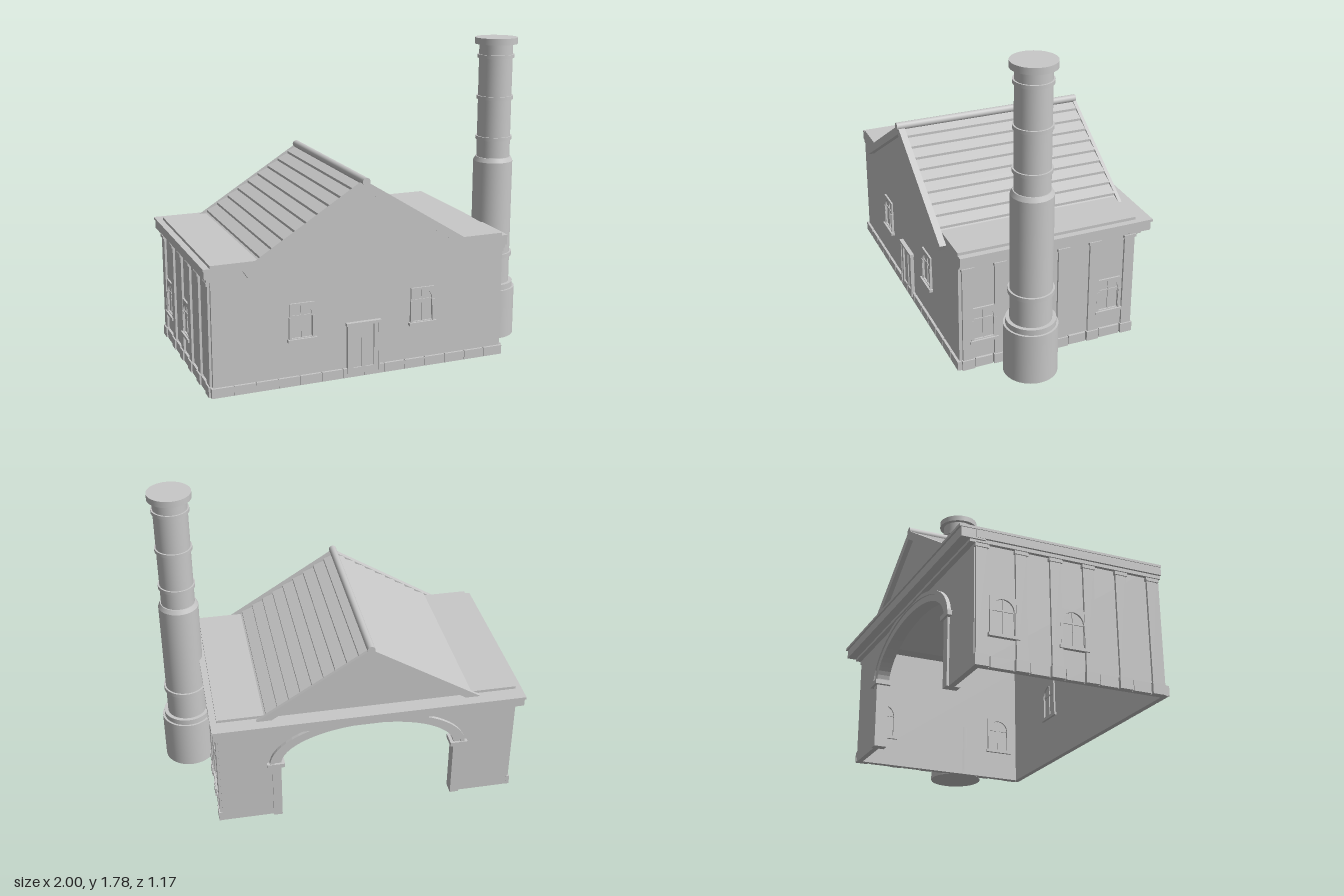
import * as THREE from 'three';

const stone = new THREE.MeshStandardMaterial({ color: 0xc8c8c8 });
stone.name = 'pale grey stone';

const CX = -0.12;        // centre line of the hall
const HALF = 0.845;      // half width to the wall faces
const FRONT = 0.54, BACK = -0.495;
const SLOPE = 0.625, APEX = 1.1;

function add(parent, name, geometry) {
  const m = new THREE.Mesh(geometry, stone);
  m.name = name;
  parent.add(m);
  return m;
}

// Box given by its limits on each axis
function box(parent, name, x0, x1, y0, y1, z0, z1) {
  const m = add(parent, name, new THREE.BoxGeometry(x1 - x0, y1 - y0, z1 - z0));
  m.position.set((x0 + x1) / 2, (y0 + y1) / 2, (z0 + z1) / 2);
  return m;
}

// Shape in the xy plane pushed from z0 to z1
function slab(parent, name, shape, z0, z1) {
  const g = new THREE.ExtrudeGeometry(shape, { depth: z1 - z0, bevelEnabled: false, curveSegments: 24 });
  g.translate(0, 0, z0);
  return add(parent, name, g);
}

const polygon = (pts) => new THREE.Shape(pts.map(([x, y]) => new THREE.Vector2(x, y)));

// Gabled end wall outline, centred on x = 0
function gableOutline() {
  const d = (1.06 - 0.72) / SLOPE;
  return polygon([[-HALF, 0], [HALF, 0], [HALF, 0.72], [d, 0.72], [0, 1.06], [-d, 0.72], [-HALF, 0.72]]);
}

// Arched window facing +z, with its sill at the origin
function makeWindow() {
  const g = new THREE.Group();
  g.name = 'archedWindow';
  const frame = polygon([[-0.07, 0], [0.07, 0], [0.07, 0.205], [-0.07, 0.205]]);
  const hole = new THREE.Path();
  hole.moveTo(-0.057, 0.012);
  hole.lineTo(-0.057, 0.135);
  hole.absarc(0, 0.135, 0.057, Math.PI, 0, true);
  hole.lineTo(0.057, 0.012);
  hole.closePath();
  frame.holes.push(hole);
  slab(g, 'windowFrame', frame, -0.03, 0.01);
  box(g, 'windowMullion', -0.004, 0.004, 0.01, 0.192, -0.026, 0.005);
  box(g, 'windowTransom', -0.057, 0.057, 0.129, 0.137, -0.026, 0.005);
  for (const s of [-1, 1]) box(g, 'windowJamb', s * 0.066 - 0.007, s * 0.066 + 0.007, 0, 0.13, 0, 0.014);
  box(g, 'windowSill', -0.082, 0.082, -0.008, 0.008, -0.034, 0.022);
  return g;
}

// Elliptical arch path points between the springings
function archPoints(a, b, y0) {
  return Array.from({ length: 33 }, (_, i) => {
    const t = Math.PI * i / 32;
    return [a * Math.cos(t), y0 + b * Math.sin(t)];
  });
}

function buildWalls(hall) {
  slab(hall, 'frontWall', gableOutline(), FRONT - 0.02, FRONT);

  // Back wall with the wide arched entrance
  const inner = [[0.5, 0], ...archPoints(0.5, 0.215, 0.375), [-0.5, 0]];
  const outer = [[0.55, 0], ...archPoints(0.55, 0.26, 0.375), [-0.55, 0]];
  const d = (1.06 - 0.72) / SLOPE;
  slab(hall, 'backWall', polygon([[HALF, 0], [HALF, 0.72], [d, 0.72], [0, 1.06], [-d, 0.72], [-HALF, 0.72],
    [-HALF, 0], [-0.53, 0], ...archPoints(0.53, 0.24, 0.375).reverse(), [0.53, 0]]), BACK, BACK + 0.03);
  slab(hall, 'archSurround', polygon([...outer, ...inner.slice().reverse()]), BACK - 0.012, BACK + 0.06);
  slab(hall, 'archOuterMoulding', polygon([...archPoints(0.565, 0.27, 0.375), ...archPoints(0.54, 0.25, 0.375).reverse()]),
    BACK - 0.02, BACK + 0.01);
  for (const s of [-1, 1]) {
    box(hall, 'archImpost', s * 0.53 - 0.05, s * 0.53 + 0.05, 0.36, 0.385, BACK - 0.025, BACK + 0.065);
  }

  // Side walls with pilasters and plinth blocks
  const pilasters = [0.492, 0.308, 0.122, -0.062, -0.25, -0.46];
  for (const s of [-1, 1]) {
    const side = new THREE.Group();
    side.name = s > 0 ? 'leftSide' : 'rightSide';
    hall.add(side);
    const span = (name, a, b, y0, y1, z0, z1) =>
      box(side, name, Math.min(s * a, s * b), Math.max(s * a, s * b), y0, y1, z0, z1);
    span('sideWall', HALF - 0.02, HALF, 0, 0.72, BACK, FRONT);
    pilasters.forEach((z, i) => {
      span('pilaster', HALF, HALF + 0.013, 0.05, 0.64, z - 0.03, z + 0.03);
      span('pilasterCapital', HALF, HALF + 0.02, 0.61, 0.628, z - 0.036, z + 0.036);
      span('pilasterBase', HALF, HALF + 0.021, 0, 0.058, z - 0.036, z + 0.036);
      if (i < 5) {
        const mid = (z + pilasters[i + 1]) / 2, h = (z - pilasters[i + 1]) / 2 - 0.043;
        span('sidePlinthBlock', HALF, HALF + 0.014, 0, 0.055, mid - h, mid + h);
      }
    });
    // Cornice along the side
    span('corniceBed', HALF, HALF + 0.02, 0.632, 0.66, BACK, FRONT);
    span('corniceFascia', HALF, HALF + 0.032, 0.65, 0.695, BACK, FRONT);
    span('corniceLip', HALF - 0.01, HALF + 0.036, 0.693, 0.706, BACK, FRONT);
    for (const z of s > 0 ? [0.4, -0.345] : [0.03, -0.345]) {
      const w = makeWindow();
      w.position.set(s * HALF, 0.165, z);
      w.rotation.y = s * Math.PI / 2;
      side.add(w);
    }
    // Flat roof beside the gable
    span('flatRoof', 0.58, HALF, 0.698, 0.722, BACK, FRONT);
  }

  // Deep cornice over the entrance
  box(hall, 'backCorniceBed', -0.865, 0.865, 0.628, 0.655, BACK - 0.03, BACK);
  box(hall, 'backCorniceFascia', -0.875, 0.875, 0.642, 0.695, -0.575, BACK + 0.05);
  box(hall, 'backCorniceLip', -0.88, 0.88, 0.692, 0.706, -0.585, BACK + 0.01);

  // Front plinth of separate blocks
  const n = 14, step = 1.72 / n;
  for (let i = 0; i < n; i++) {
    const x = -0.86 + i * step;
    box(hall, 'frontPlinthBlock', x + 0.004, x + step - 0.004, 0.003, 0.055, FRONT - 0.01, FRONT + 0.014);
  }
  box(hall, 'frontPlinth', -0.855, 0.855, 0, 0.05, FRONT - 0.02, FRONT + 0.008);

  for (const s of [-1, 1]) {
    const w = makeWindow();
    w.position.set(s * 0.353, 0.26, FRONT);
    hall.add(w);
  }
}

function buildDoor(hall) {
  const door = new THREE.Group();
  door.name = 'frontDoor';
  door.position.z = FRONT;
  hall.add(door);
  box(door, 'doorLeaves', -0.07, 0.07, 0.02, 0.3, 0, 0.006);
  for (const s of [-1, 1]) {
    box(door, 'doorJamb', s * 0.078 - 0.017, s * 0.078 + 0.017, 0.03, 0.3, 0, 0.016);
    box(door, 'doorBead', s * 0.09 - 0.005, s * 0.09 + 0.005, 0.025, 0.3, 0, 0.021);
  }
  box(door, 'doorMeetingRail', -0.012, 0.012, 0.02, 0.3, 0, 0.012);
  box(door, 'doorLintel', -0.102, 0.102, 0.3, 0.316, 0, 0.024);
}

function buildRoof(hall) {
  const boards = 10, width = 0.64;
  const y = (d, drop) => APEX - SLOPE * d - drop;
  for (const s of [-1, 1]) {
    // Overlapping boards form a sawtooth upper edge
    const pts = [];
    for (let i = 0; i < boards; i++) {
      pts.push([s * width * i / boards, y(width * i / boards, 0.014)]);
      pts.push([s * width * (i + 1) / boards, y(width * (i + 1) / boards, 0)]);
    }
    pts.push([s * width, y(width, 0.045)], [0, y(0, 0.045)]);
    slab(hall, 'boardedRoofSlope', polygon(pts), -0.51, 0.565);

    // Bargeboards with ends cut square to the slope
    const barge = (w) => polygon([[0, y(0, 0)], [s * w, y(w, 0)], [s * (w - 0.024), y(w, 0.037)], [0, y(0, 0.052)]]);
    slab(hall, 'frontBargeboard', barge(0.675), FRONT, 0.577);
    slab(hall, 'backBargeboard', barge(0.64), -0.525, -0.505);
  }
  const ridge = add(hall, 'ridgeRoll', new THREE.CylinderGeometry(0.022, 0.022, 1.11, 16));
  ridge.rotation.x = Math.PI / 2;
  ridge.position.set(0, APEX - 0.003, 0.03);
}

function buildChimney(root) {
  const chimney = new THREE.Group();
  chimney.name = 'chimney';
  chimney.position.set(0.852, 0, 0.18);
  root.add(chimney);
  // Name, bottom, top, bottom radius, top radius
  const stages = [
    ['chimneyBase', 0, 0.295, 0.148, 0.148],
    ['baseCollar', 0.295, 0.328, 0.136, 0.136],
    ['lowerShaft', 0.328, 1.06, 0.114, 0.114],
    ['shaftShoulder', 1.06, 1.085, 0.114, 0.102],
    ['upperShaft', 1.085, 1.74, 0.096, 0.096],
    ['chimneyCap', 1.74, 1.776, 0.122, 0.122],
    ['lowerBand', 0.487, 0.511, 0.125, 0.125],
    ...[1.197, 1.433, 1.67].map((c) => ['upperBand', c - 0.01, c + 0.01, 0.105, 0.105]),
  ];
  for (const [name, y0, y1, r0, r1] of stages) {
    add(chimney, name, new THREE.CylinderGeometry(r1, r0, y1 - y0, 48)).position.y = (y0 + y1) / 2;
  }
}

export function createModel() {
  const root = new THREE.Group();
  root.name = 'engineHouse';
  const hall = new THREE.Group();
  hall.name = 'hall';
  hall.position.x = CX;
  root.add(hall);
  buildWalls(hall);
  buildDoor(hall);
  buildRoof(hall);
  buildChimney(root);
  return root;
}
